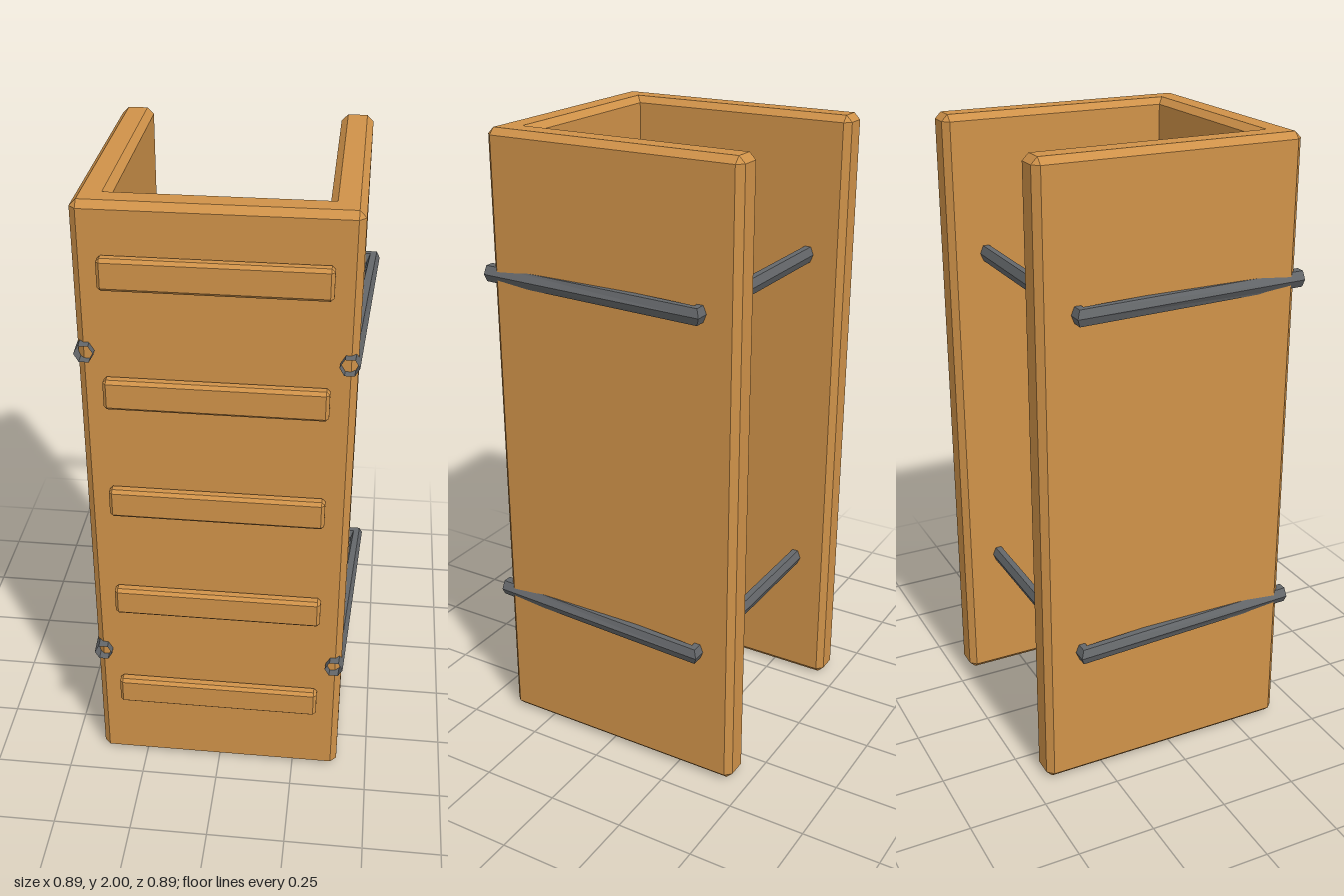
import * as THREE from 'three';
import { ConvexGeometry } from 'three/addons/geometries/ConvexGeometry.js';

const wood = new THREE.MeshStandardMaterial({ color: 0xcf9249, flatShading: true });
const metal = new THREE.MeshStandardMaterial({ color: 0x64676a, flatShading: true, side: THREE.DoubleSide });

function fromTriangles(points) {
  const geometry = new THREE.BufferGeometry().setFromPoints(points);
  geometry.computeVertexNormals();
  return geometry;
}

// Triangles joining successive rings of points; collapsed triangles are skipped
function loft(rings) {
  const out = [];
  const add = (...t) => {
    if (new THREE.Triangle(...t).getArea() > 1e-9) out.push(...t);
  };
  for (let i = 0; i < rings.length - 1; i++) {
    const lo = rings[i], hi = rings[i + 1];
    lo.forEach((a, j) => {
      const k = (j + 1) % lo.length;
      add(a, lo[k], hi[k]);
      add(a, hi[k], hi[j]);
    });
  }
  return out;
}

// Three-walled upright with every outer edge chamfered
function channelGeometry(height, c) {
  const corners = [
    [-0.38, 0.383], [0.38, 0.383], [0.38, -0.424], [0.32, -0.424],
    [0.32, 0.323], [-0.32, 0.323], [-0.32, -0.424], [-0.38, -0.424],
  ].map(([x, z]) => new THREE.Vector2(x, z));
  const inset = [], full = [];
  corners.forEach((p, i) => {
    const before = p.clone().sub(corners[(i + 7) % 8]).normalize();
    const after = corners[(i + 1) % 8].clone().sub(p).normalize();
    const n1 = new THREE.Vector2(-before.y, before.x).multiplyScalar(c);
    const n2 = new THREE.Vector2(-after.y, after.x).multiplyScalar(c);
    if (before.cross(after) < 0) {
      inset.push(p, p);
      full.push(p.clone().add(n1), p.clone().add(n2));
    } else {
      inset.push(p);
      full.push(p.clone().add(n1).add(n2));
    }
  });
  const at = (ring, y) => ring.map((p) => new THREE.Vector3(p.x, y, p.y));
  const triangles = loft([at(inset, 0), at(full, c), at(full, height - c), at(inset, height)]);

  // Top and bottom caps
  const contour = corners.map((p) => new THREE.Vector2(p.x, -p.y));
  const top = at(corners, height), bottom = at(corners, 0);
  for (const [a, b, d] of THREE.ShapeUtils.triangulateShape(contour, [])) {
    triangles.push(top[a], top[b], top[d], bottom[a], bottom[d], bottom[b]);
  }
  return fromTriangles(triangles);
}

// Box with flat chamfers on all edges
function chamferBox(w, h, d, c) {
  const points = [];
  for (const x of [-1, 1]) for (const y of [-1, 1]) for (const z of [-1, 1]) {
    for (let axis = 0; axis < 3; axis++) {
      points.push(new THREE.Vector3(
        x * (w / 2 - (axis === 0 ? 0 : c)),
        y * (h / 2 - (axis === 1 ? 0 : c)),
        z * (d / 2 - (axis === 2 ? 0 : c))
      ));
    }
  }
  return new ConvexGeometry(points);
}

// Open-ended six-sided rod bent round the back: [x, z, outward x, outward z]
function strapGeometry(radius) {
  const s = Math.SQRT1_2;
  const stations = [
    [-0.376, 0.43, -1, 0], [-0.425, -0.322, -s, -s],
    [0.425, -0.322, s, -s], [0.376, 0.43, 1, 0],
  ];
  const rings = stations.map(([x, z, ux, uz]) => Array.from({ length: 6 }, (_, i) => {
    const a = (i * Math.PI) / 3, r = radius * Math.cos(a);
    return new THREE.Vector3(x + ux * r, radius * Math.sin(a), z + uz * r);
  }));
  return fromTriangles(loft(rings));
}

export function createModel() {
  const model = new THREE.Group();
  model.name = 'woodenChannel';
  const add = (name, geometry, material, y = 0, z = 0) => {
    const mesh = new THREE.Mesh(geometry, material);
    mesh.name = name;
    mesh.position.set(0, y, z);
    model.add(mesh);
  };

  add('channelWalls', channelGeometry(2, 0.02), wood);

  // Horizontal slats up the front
  const slat = chamferBox(0.65, 0.096, 0.041, 0.01);
  for (let i = 0; i < 5; i++) add(`frontSlat${i + 1}`, slat, wood, 0.305 + i * 0.375, 0.4235);

  // Metal straps round the sides and back
  const strap = strapGeometry(0.029);
  add('lowerStrap', strap, metal, 0.455);
  add('upperStrap', strap, metal, 1.555);
  return model;
}
